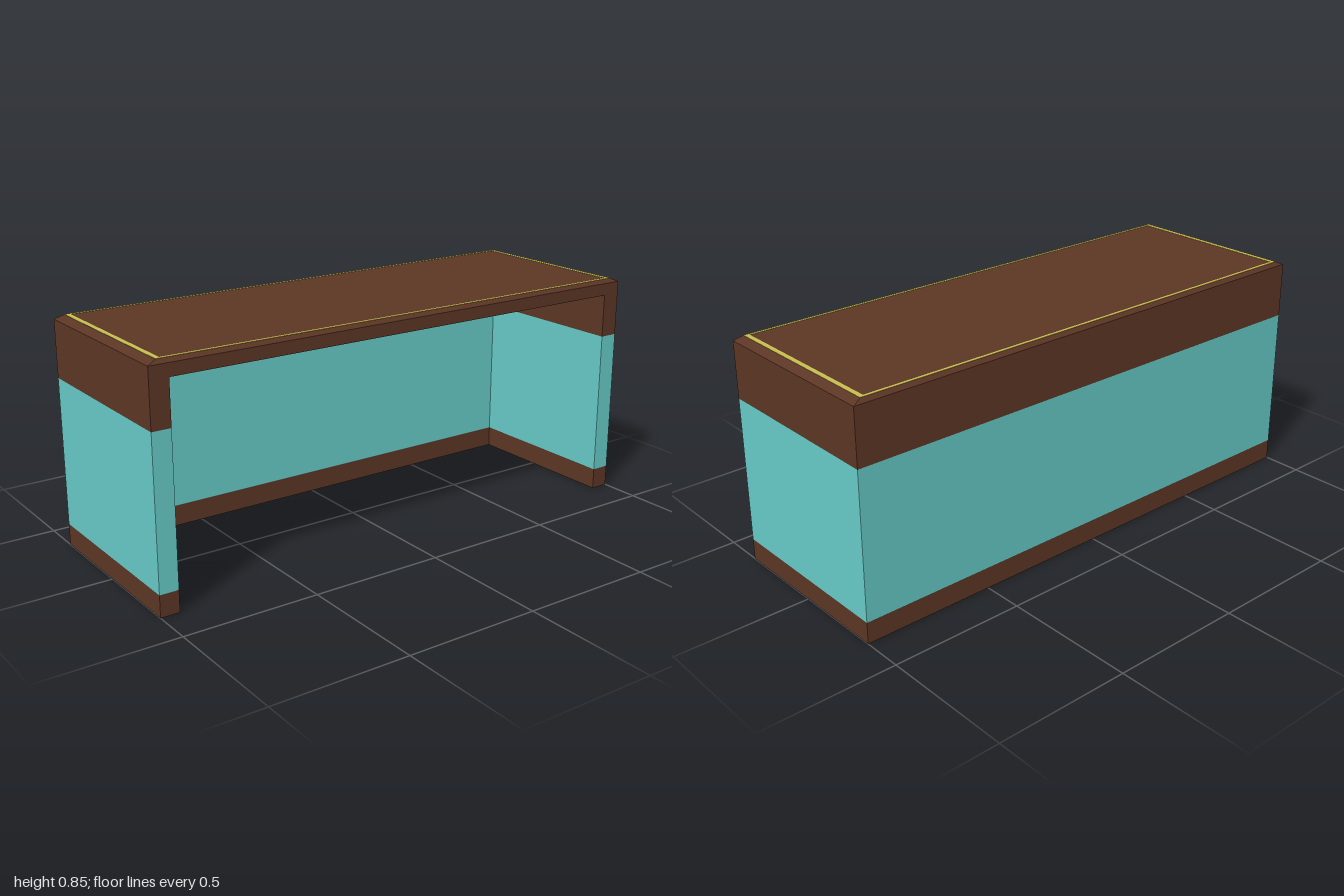
import * as THREE from 'three';

const W = 1, D = 0.35;           // half width and half depth
const WALL = 0.07;               // panel thickness
const UNDER = 0.79, EDGE = 0.836, TOP = 0.85;
const TOP_X = 0.967, TOP_Z = 0.337; // half size of the flat top inside the bevel

const material = (color) => new THREE.MeshStandardMaterial({ color, flatShading: true });

// Extrudes a plan outline (shape y points to the back) upward from y0 to y1
function extrudeUp(shape, y0, y1) {
  const geometry = new THREE.ExtrudeGeometry(shape, { depth: y1 - y0, bevelEnabled: false });
  return geometry.rotateX(-Math.PI / 2).translate(0, y0, 0);
}

const outline = (x, z) => [[-x, -z], [x, -z], [x, z], [-x, z]].map(([a, b]) => new THREE.Vector2(a, b));

export function createModel() {
  const group = new THREE.Group();
  const brown = material(0x5c3624);
  const teal = material(0x66cbc8);
  const gold = material(0xc8be50);

  const add = (name, geometry, mat) => {
    const mesh = new THREE.Mesh(geometry, mat);
    mesh.name = name;
    group.add(mesh);
  };

  // Side and back panels: one U-shaped plan, open to the front, in three colour bands
  const i = W - WALL, b = D - WALL;
  const plan = new THREE.Shape(
    [[-W, -D], [-i, -D], [-i, b], [i, b], [i, -D], [W, -D], [W, D], [-W, D]]
      .map(([x, y]) => new THREE.Vector2(x, y))
  );
  add('baseBand', extrudeUp(plan, 0, 0.08), brown);
  add('middleBand', extrudeUp(plan, 0.08, 0.627), teal);
  add('upperBand', extrudeUp(plan, 0.627, UNDER), brown);

  // Table top slab
  add('topSlab', extrudeUp(new THREE.Shape(outline(W, D)), UNDER, EDGE), brown);

  // Bevelled upper edge: a box whose top face is drawn inward
  const bevel = new THREE.BoxGeometry(2 * W, TOP - EDGE, 2 * D).translate(0, (TOP + EDGE) / 2, 0);
  const p = bevel.attributes.position;
  for (let k = 0; k < p.count; k++) {
    if (p.getY(k) > (TOP + EDGE) / 2) {
      p.setX(k, Math.sign(p.getX(k)) * TOP_X);
      p.setZ(k, Math.sign(p.getZ(k)) * TOP_Z);
    }
  }
  bevel.computeVertexNormals();
  add('topBevel', bevel, brown);

  // Thin gold inlay frame around the top
  const frame = new THREE.Shape(outline(TOP_X, TOP_Z));
  frame.holes.push(new THREE.Path(outline(0.949, 0.326)));
  add('topInlay', extrudeUp(frame, TOP - 0.002, TOP + 0.001), gold);

  return group;
}
